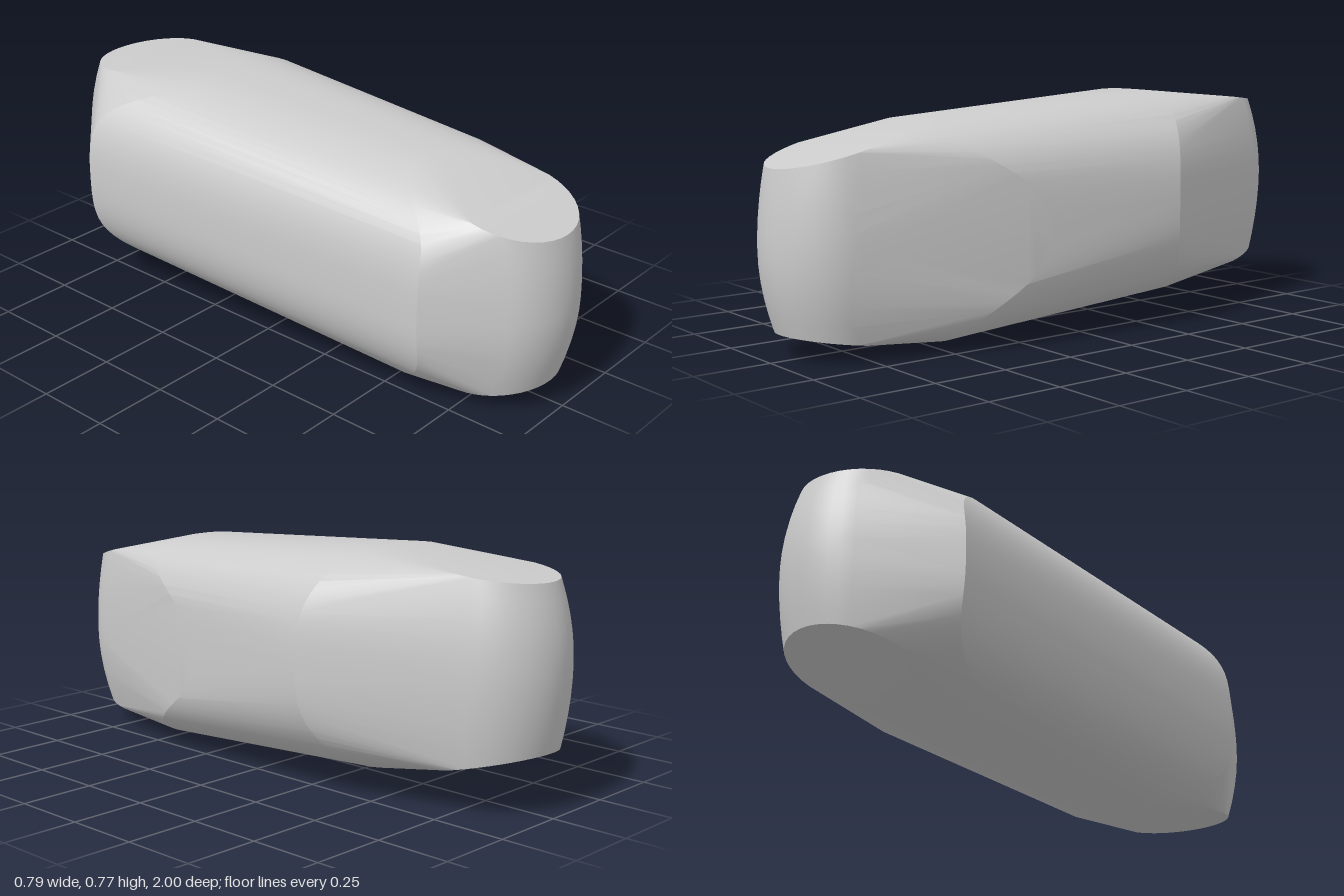
import * as THREE from 'three';
import { ConvexGeometry } from 'three/addons/geometries/ConvexGeometry.js';
import { toCreasedNormals } from 'three/addons/utils/BufferGeometryUtils.js';

const spow = (v, e) => Math.sign(v) * Math.pow(Math.abs(v), e);
const lerp = THREE.MathUtils.lerp;

// Rounded-square ring around the body; its sides sweep forward or back from the top and bottom
function ring({ left, right, low, high, zTop, zBottom, zLeft, zRight, kRight }) {
  const points = [], N = 72;
  for (let i = 0; i < N; i++) {
    const a = (i / N) * Math.PI * 2, c = Math.cos(a), s = Math.sin(a);
    const ux = spow(c, 2 / 2.7), uy = spow(s, 2 / 2.7);
    const x = ux * (c > 0 ? right : left);
    const y = (low + high) / 2 + uy * (high - low) / 2 + 0.03 * x;
    const sweep = c > 0 ? Math.pow(c, kRight) : THREE.MathUtils.smoothstep(-c, 0.3, 1);
    const z = lerp(lerp(zBottom, zTop, (uy + 1) / 2), c > 0 ? zRight : zLeft, sweep);
    points.push(new THREE.Vector3(x, y, z));
  }
  return points;
}

// Half barrel closing one end, cut above and below by sloping planes
function endCap({ dir, z0, radius, dropTop, dropBottom, top, bottom }) {
  const points = [], N = 20, M = 10;
  for (let i = 0; i <= N; i++) {
    const a = (i / N) * Math.PI;
    for (let j = 0; j <= M; j++) {
      const t = (j / M) * 2 - 1;
      const r = radius - (t > 0 ? dropTop : dropBottom) * t * t;
      const x = Math.cos(a) * r - 0.005, z = z0 + dir * Math.sin(a) * r;
      const y = lerp(bottom(z), top(z), (t + 1) / 2) + 0.03 * x;
      points.push(new THREE.Vector3(x, y, z));
    }
  }
  return points;
}

export function createModel() {
  const group = new THREE.Group();
  group.name = 'roundedBlock';

  const points = [
    // front shoulder
    ...ring({ left: 0.335, right: 0.355, low: 0, high: 0.71,
      zTop: 0.5, zBottom: 0.47, zLeft: 0.68, zRight: 0.2, kRight: 6 }),
    // back shoulder
    ...ring({ left: 0.397, right: 0.393, low: 0.06, high: 0.765,
      zTop: -0.4, zBottom: -0.46, zLeft: -0.69, zRight: -0.31, kRight: 2 }),
    // front end
    ...endCap({ dir: 1, z0: 0.77, radius: 0.23, dropTop: 0.025, dropBottom: 0.045,
      top: (z) => 0.71 - 0.27 * (z - 0.5), bottom: (z) => 0.156 * (z - 0.47) }),
    // back end
    ...endCap({ dir: -1, z0: -0.76, radius: 0.24, dropTop: 0.045, dropBottom: 0.03,
      top: (z) => 0.765 + 0.111 * (z + 0.4), bottom: (z) => 0.06 - 0.255 * (z + 0.46) }),
  ];

  // One taut skin over the shoulders and both ends
  const body = new THREE.Mesh(
    toCreasedNormals(new ConvexGeometry(points), 0.25),
    new THREE.MeshStandardMaterial({ color: 0xcccccc })
  );
  body.name = 'body';
  group.add(body);
  return group;
}
